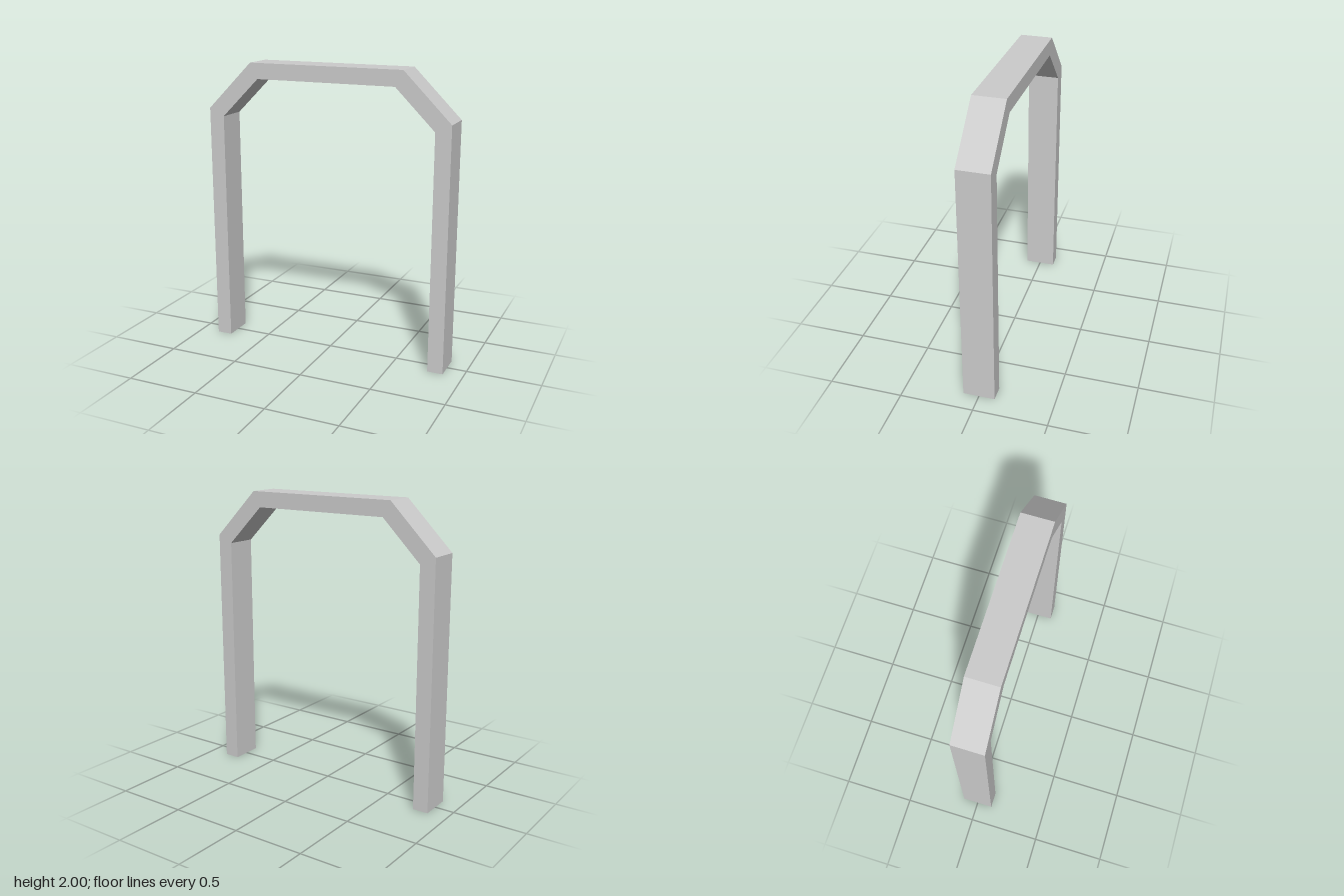
import * as THREE from 'three';

const DEPTH = 0.108; // half depth of the beam

// Half profile of the arch from foot to crown: [outer x, outer y, inner x, inner y]
const half = [
  [0.865, 0, 0.758, 0],
  [0.865, 1.677, 0.758, 1.625],
  [0.541, 2, 0.488, 1.893],
];

// Sweep a rectangular section along the stations; the feet stay open
function hollowBeam(stations) {
  const rings = stations.map(([ox, oy, ix, iy]) => [
    [ox, oy, DEPTH], [ox, oy, -DEPTH], [ix, iy, -DEPTH], [ix, iy, DEPTH],
  ]);
  const positions = [];
  for (let i = 0; i < rings.length - 1; i++) {
    for (let j = 0; j < 4; j++) {
      const k = (j + 1) % 4;
      const a = rings[i][j], b = rings[i][k];
      const c = rings[i + 1][k], d = rings[i + 1][j];
      positions.push(...a, ...b, ...c, ...a, ...c, ...d);
    }
  }
  const geometry = new THREE.BufferGeometry();
  geometry.setAttribute('position', new THREE.Float32BufferAttribute(positions, 3));
  geometry.computeVertexNormals();
  return geometry;
}

export function createModel() {
  const group = new THREE.Group();
  group.name = 'archway';
  const material = new THREE.MeshStandardMaterial({
    color: 0xcccccc, flatShading: true, side: THREE.DoubleSide,
  });

  // Mirror the half profile to get the whole frame
  const mirrored = half.map(([ox, oy, ix, iy]) => [-ox, oy, -ix, iy]).reverse();
  const frame = new THREE.Mesh(hollowBeam([...half, ...mirrored]), material);
  frame.name = 'archFrame';
  group.add(frame);
  return group;
}
